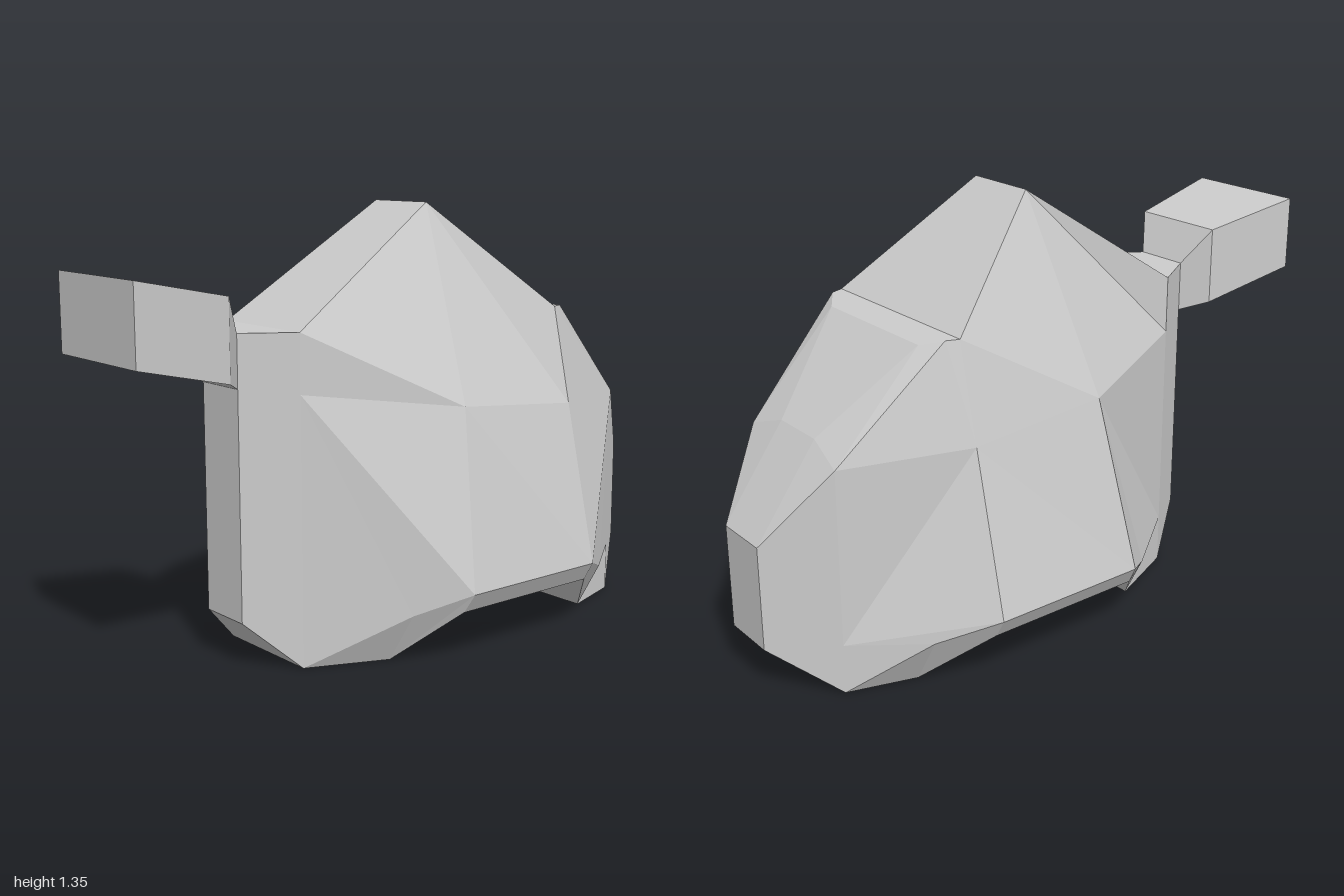
import * as THREE from 'three';

// Builds a mesh symmetric in z. pts: right-hand points; chain: closed centre strip
// bridged across to its mirror image; sides: polygons copied to both flanks.
function symmetricMesh(name, pts, chain, sides, material) {
  const pos = [];
  const at = (k, s) => [pts[k][0], pts[k][1], pts[k][2] * s];
  const fan = (poly) => {
    for (let i = 1; i < poly.length - 1; i++) pos.push(...poly[0], ...poly[i], ...poly[i + 1]);
  };
  chain.forEach((p, i) => {
    const q = chain[(i + 1) % chain.length];
    fan([at(p, 1), at(q, 1), at(q, -1), at(p, -1)]);
  });
  for (const side of sides) {
    const keys = side.split(' ');
    fan(keys.map((k) => at(k, 1)));
    fan(keys.map((k) => at(k, -1)).reverse());
  }
  const geo = new THREE.BufferGeometry();
  geo.setAttribute('position', new THREE.Float32BufferAttribute(pos, 3));
  geo.computeVertexNormals();
  const mesh = new THREE.Mesh(geo, material);
  mesh.name = name;
  return mesh;
}

export function createModel() {
  const group = new THREE.Group();
  group.name = 'facetedCreature';
  const grey = new THREE.MeshStandardMaterial({ color: 0xcccccc, flatShading: true });
  grey.name = 'light grey';

  // Body corners, on the +z side
  const body = {
    noseTop: [1, 0.47, 0.09], noseLow: [1, 0.145, 0.09],
    cheek: [0.82, 0.7, 0.225], cheekLow: [0.82, 0.155, 0.225],
    frontToe: [0.82, 0, 0.225], frontHeel: [0.61, 0, 0.29], jaw: [0.61, 0.155, 0.38],
    bellyF: [0.45, 0.16, 0.46], bellyB: [-0.07, 0.16, 0.46],
    flankF: [0.45, 0.22, 0.495], flankB: [-0.06, 0.22, 0.495],
    midF: [0.45, 0.72, 0.375], midB: [0, 0.76, 0.38],
    backToe: [-0.215, 0, 0.29], thigh: [-0.2, 0.155, 0.38], backHeel: [-0.46, 0, 0.185],
    rump: [-0.46, 0.155, 0.185], rumpMid: [-0.46, 0.82, 0.185], shoulder: [-0.46, 1, 0.185],
    rearLow: [-0.61, 0.145, 0.09], rearTop: [-0.61, 1, 0.09],
    peak: [0.07, 1.35, 0.12], brow: [0.45, 1.02, 0.305], lip: [0.49, 1.02, 0.29],
    faceTop: [0.535, 1, 0.225], faceLow: [0.8, 0.745, 0.09],
  };
  const bodyChain = ['noseTop', 'noseLow', 'frontToe', 'frontHeel', 'bellyF', 'bellyB', 'backToe',
    'backHeel', 'rearLow', 'rearTop', 'shoulder', 'peak', 'brow', 'lip', 'faceTop', 'faceLow'];
  const bodySides = [
    // nose, face and front foot
    'noseTop cheek cheekLow noseLow', 'cheekLow frontToe noseLow',
    'cheekLow jaw frontHeel frontToe', 'faceTop cheek faceLow', 'cheek noseTop faceLow',
    'lip cheek faceTop', 'brow midF cheek lip',
    // flank
    'cheek midF flankF jaw cheekLow', 'jaw flankF bellyF frontHeel',
    'flankF flankB bellyB bellyF', 'midB flankB flankF midF', 'peak midB midF brow',
    // rump and back foot
    'flankB thigh backToe bellyB', 'thigh rump backHeel backToe', 'rump rearLow backHeel',
    'shoulder rearTop rearLow rump rumpMid', 'rumpMid rump thigh flankB midB',
    'shoulder rumpMid midB peak',
  ];
  group.add(symmetricMesh('body', body, bodyChain, bodySides, grey));

  // Tail: flared block on a short neck
  const tail = {
    rootTop: [-0.61, 1, 0.09], rootLow: [-0.61, 0.84, 0.09],
    neckTop: [-0.68, 1.115, 0.16], neckLow: [-0.68, 0.87, 0.16],
    tipTop: [-1, 1.18, 0.205], tipLow: [-1, 0.945, 0.205],
  };
  group.add(symmetricMesh('tail', tail,
    ['rootTop', 'rootLow', 'neckLow', 'tipLow', 'tipTop', 'neckTop'],
    ['rootTop neckTop neckLow rootLow', 'neckTop tipTop tipLow neckLow'], grey));

  return group;
}
